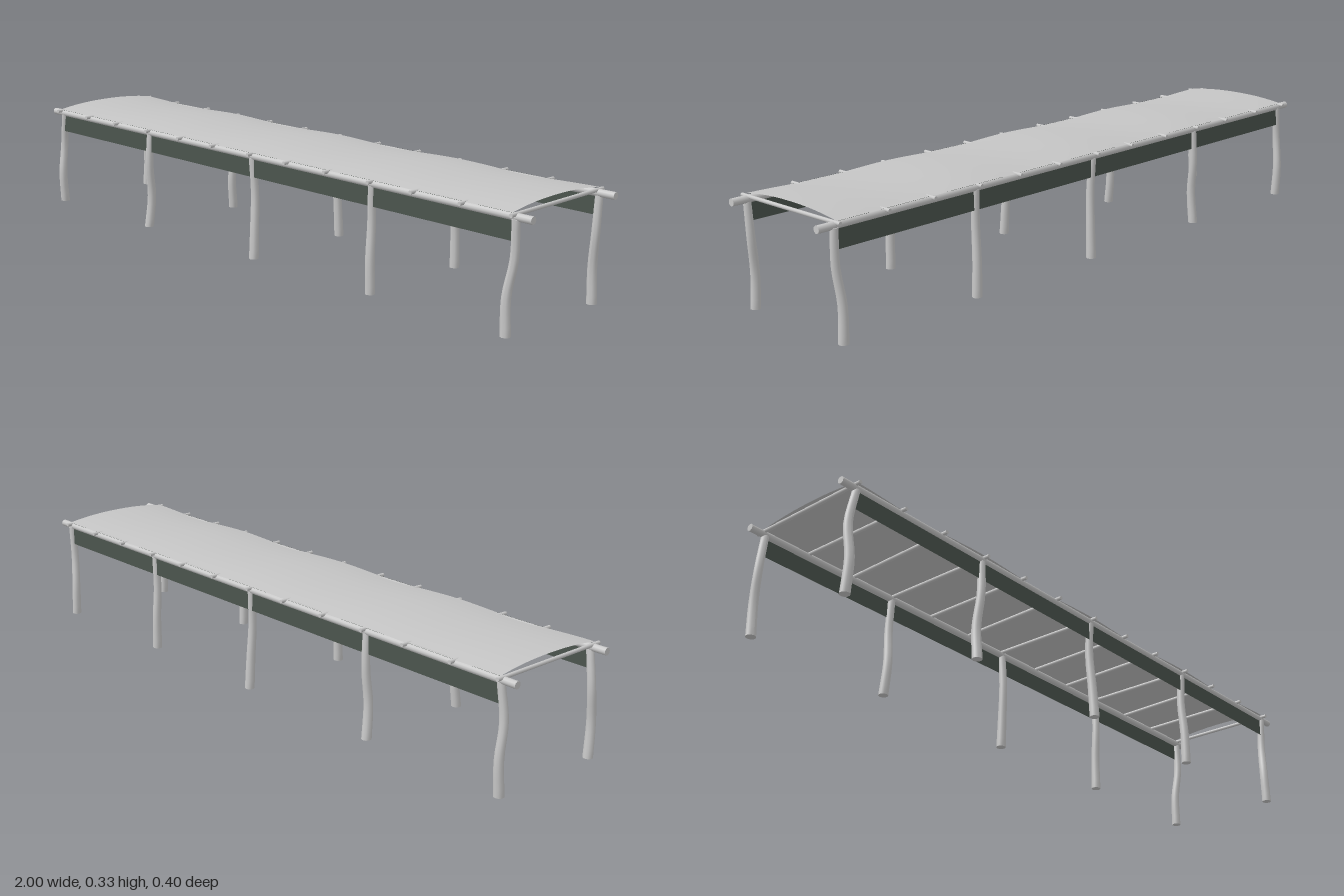
import * as THREE from 'three';

const wood = new THREE.MeshStandardMaterial({ color: 0xc8c8c8 });
wood.name = 'pale wood';
const cloth = new THREE.MeshStandardMaterial({ color: 0xc4c4c4, side: THREE.DoubleSide });
cloth.name = 'grey cloth';
const netting = new THREE.MeshStandardMaterial({ color: 0x4b544d, side: THREE.DoubleSide });
netting.name = 'dark green valance';

const RAIL_Z = 0.175, RAIL_Y = 0.307;

// Tapered round pole whose rings follow a curve; the pole runs along y
function bentPole(name, r0, r1, points, segments = 12) {
  const curve = new THREE.CatmullRomCurve3(points.map(p => new THREE.Vector3(...p)));
  const geo = new THREE.CylinderGeometry(r1, r0, 1, 10, segments);
  const pos = geo.attributes.position;
  for (let i = 0; i < pos.count; i++) {
    const p = curve.getPoint(THREE.MathUtils.clamp(pos.getY(i) + 0.5, 0, 1));
    pos.setXYZ(i, pos.getX(i) + p.x, p.y, pos.getZ(i) + p.z);
  }
  geo.computeVertexNormals();
  const mesh = new THREE.Mesh(geo, wood);
  mesh.name = name;
  return mesh;
}

// Straight pole between two points
function pole(name, radius, a, b) {
  const from = new THREE.Vector3(...a), to = new THREE.Vector3(...b);
  const dir = to.clone().sub(from);
  const mesh = new THREE.Mesh(new THREE.CylinderGeometry(radius, radius, dir.length(), 10), wood);
  mesh.position.copy(from).add(to).multiplyScalar(0.5);
  mesh.quaternion.setFromUnitVectors(new THREE.Vector3(0, 1, 0), dir.normalize());
  mesh.name = name;
  return mesh;
}

// Cloth rises at the posts and sags slightly between them
const lift = x => 0.0025 * Math.cos((x / 0.474) * Math.PI * 2) - 0.0025;

function makeCanopy() {
  const geo = new THREE.PlaneGeometry(1.9, 2, 48, 12).rotateX(-Math.PI / 2);
  const pos = geo.attributes.position;
  for (let i = 0; i < pos.count; i++) {
    const x = pos.getX(i) - 0.004, t = pos.getZ(i);
    const half = 0.182 + 0.002 * Math.cos(x * 13);
    const y = 0.334 - 0.014 * Math.pow(Math.abs(t), 2.2) + lift(x);
    pos.setXYZ(i, x, y, t * half);
  }
  geo.computeVertexNormals();
  const mesh = new THREE.Mesh(geo, cloth);
  mesh.name = 'canopy';
  return mesh;
}

export function createModel() {
  const group = new THREE.Group();

  // Posts: x of each, then sideways drift at foot, lower bend, upper bend and top
  const posts = [
    { x: -0.955, dx: [-0.008, -0.006, -0.008, 0.008], dz: [0.002, 0.008, -0.004, 0] },
    { x: -0.485, dx: [-0.009, -0.005, 0, 0.003], dz: [0.004, -0.006, 0.004, 0] },
    { x: 0, dx: [0.006, 0.004, 0, -0.003], dz: [0.006, 0, -0.006, 0] },
    { x: 0.471, dx: [0.002, 0, -0.002, 0], dz: [0.004, 0.004, -0.003, 0] },
    { x: 0.943, dx: [-0.006, -0.009, 0.004, 0.007], dz: [0.011, 0.009, -0.001, 0.003] },
  ];
  const heights = [0, 0.1, 0.2, 0.302];
  for (const side of [1, -1]) {
    const label = side > 0 ? 'front' : 'back';
    for (const { x, dx, dz } of posts) {
      const flip = side > 0 ? 1 : 0.8;
      const points = heights.map((y, i) => [x + dx[i] * flip, y, side * (RAIL_Z + dz[i] * flip)]);
      group.add(bentPole(label + 'Post', 0.0145, 0.011, points));
    }

    // Long rail
    group.add(pole(label + 'Rail', 0.0105, [-1, RAIL_Y, side * RAIL_Z], [1, RAIL_Y, side * RAIL_Z]));

    // Hanging valance below the cloth edge
    const valance = new THREE.Mesh(new THREE.PlaneGeometry(1.9, 0.072), netting);
    valance.position.set(-0.004, 0.281, side * 0.179);
    valance.name = label + 'Valance';
    group.add(valance);
  }

  // Thin cross rods under the cloth
  for (let i = 0; i < 13; i++) {
    const x = -0.955 + i * 0.1585, skew = 0.004 * Math.sin(i * 2.3);
    group.add(pole('crossRod', 0.0055, [x - skew, 0.314, -0.198], [x + skew, 0.314, 0.199]));
  }

  group.add(makeCanopy());
  return group;
}
